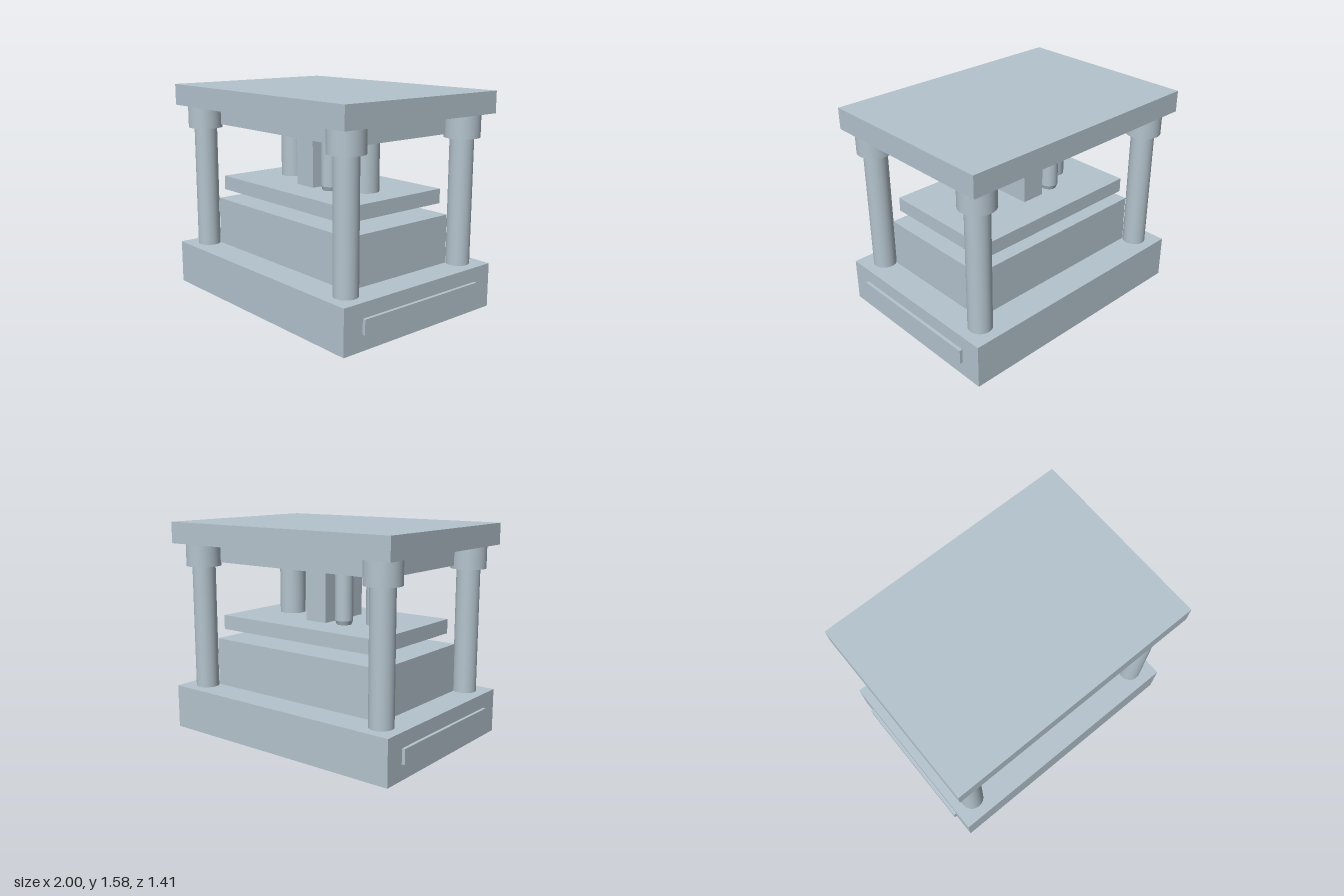
import * as THREE from 'three';

export function createModel() {
  const group = new THREE.Group();
  group.name = 'dieSet';
  const steel = new THREE.MeshStandardMaterial({ color: 0xb4c3cd });
  steel.name = 'brushed steel';

  const add = (name, geometry, x, y, z) => {
    const mesh = new THREE.Mesh(geometry, steel);
    mesh.name = name;
    mesh.position.set(x, y, z);
    group.add(mesh);
  };
  // Box centred on x and z, spanning y0 to y1
  const plate = (name, w, d, y0, y1, x = 0) =>
    add(name, new THREE.BoxGeometry(w, y1 - y0, d), x, (y0 + y1) / 2, 0);
  // Upright round bar spanning y0 to y1
  const bar = (name, r, y0, y1, x, z, rBottom = r) =>
    add(name, new THREE.CylinderGeometry(r, rBottom, y1 - y0, 48), x, (y0 + y1) / 2, z);

  // Plates, from the bottom up
  plate('basePlate', 1.954, 1.41, 0, 0.327);
  plate('dieBlock', 1.52, 0.95, 0.327, 0.688);
  plate('stripperPlate', 1.408, 0.914, 0.765, 0.872);
  plate('punch', 0.18, 0.44, 0.872, 1.276);
  plate('punchHolder', 1.52, 0.95, 1.276, 1.42);
  plate('topPlate', 1.954, 1.41, 1.42, 1.578);

  for (const s of [-1, 1]) {
    // Clamping rail on each end of the base
    plate('sideRail', 0.023, 1.09, 0.112, 0.22, s * 0.9885);

    // Guide posts with their bushings
    for (const t of [-1, 1]) {
      bar('guidePost', 0.086, 0.32, 1.3, s * 0.815, t * 0.545);
      bar('guideBushing', 0.129, 1.252, 1.42, s * 0.815, t * 0.545);
    }

    // Gas spring and its rod
    bar('gasSpring', 0.097, 0.872, 1.231, s * 0.411, 0);
    bar('springRod', 0.043, 1.231, 1.276, s * 0.411, 0);

    // Pilot pins on opposite corners, tapered at the tip
    bar('pilotPin', 0.065, 0.903, 1.276, s * 0.218, s * 0.165);
    bar('pilotTip', 0.065, 0.872, 0.903, s * 0.218, s * 0.165, 0.053);
  }
  return group;
}
